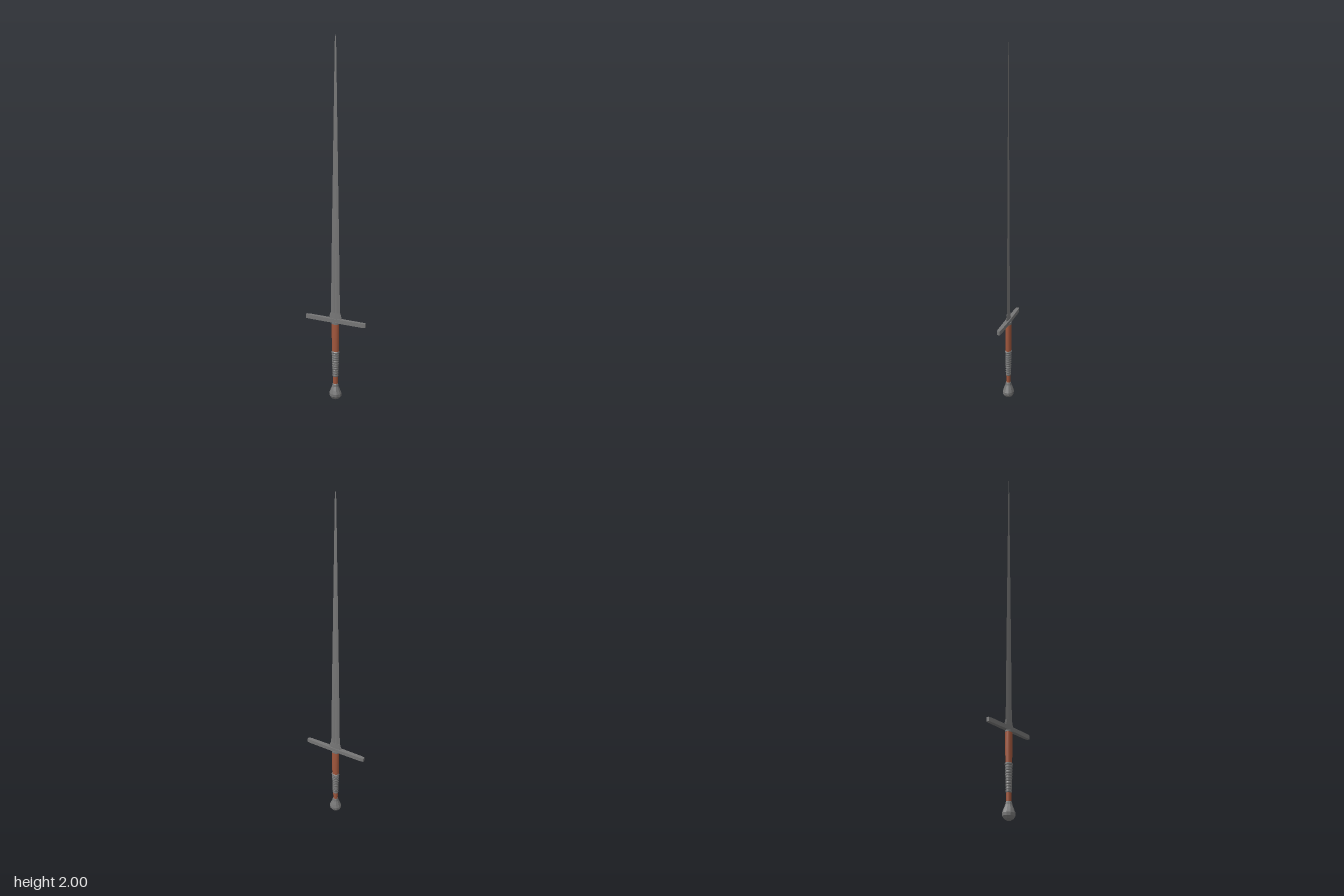
import * as THREE from 'three';

const steel = new THREE.MeshStandardMaterial({ color: 0x757575, flatShading: true });
const leather = new THREE.MeshStandardMaterial({ color: 0xa0563c });

// Unit cross-section with n sides
function ngon(n, offset = 0) {
  return Array.from({ length: n }, (_, j) => {
    const a = ((j + offset) / n) * Math.PI * 2;
    return [Math.cos(a), Math.sin(a)];
  });
}

// Skin a capped solid through sections [y, halfX, halfZ, ...]; ring(section) gives the outline
function loft(name, sections, ring, material) {
  const pos = [], idx = [];
  const n = ring(sections[0]).length, m = sections.length;
  for (const s of sections) for (const [x, z] of ring(s)) pos.push(x * s[1], s[0], z * s[2]);
  for (let i = 0; i < m - 1; i++) {
    for (let j = 0; j < n; j++) {
      const a = i * n + j, b = i * n + (j + 1) % n;
      idx.push(a, a + n, b, b, a + n, b + n);
    }
  }
  // End caps with their own corners
  for (const [s, top] of [[sections[0], false], [sections[m - 1], true]]) {
    const c = pos.length / 3;
    pos.push(0, s[0], 0);
    for (const [x, z] of ring(s)) pos.push(x * s[1], s[0], z * s[2]);
    for (let j = 0; j < n; j++) {
      const p = c + 1 + j, q = c + 1 + (j + 1) % n;
      if (top) idx.push(c, q, p); else idx.push(c, p, q);
    }
  }
  const geo = new THREE.BufferGeometry();
  geo.setAttribute('position', new THREE.Float32BufferAttribute(pos, 3));
  geo.setIndex(idx);
  geo.computeVertexNormals();
  const mesh = new THREE.Mesh(geo, material);
  mesh.name = name;
  return mesh;
}

export function createModel() {
  const sword = new THREE.Group();
  sword.name = 'sword';
  const round = ngon(16);

  // Blade: the fourth value is the fuller depth, fading to a plain ridge
  const bladeRing = ([, , , f]) => [
    [1, 0], [0.36, 0.92], [0, 1 - f], [-0.36, 0.92],
    [-1, 0], [-0.36, -0.92], [0, -1 + f], [0.36, -0.92],
  ];
  sword.add(loft('blade', [
    [0.46, 0.030, 0.0060, 0.4],
    [0.55, 0.028, 0.0057, 0.4],
    [0.85, 0.0235, 0.0047, 0.3],
    [0.95, 0.0220, 0.0043, 0],
    [1.20, 0.0175, 0.0033, 0],
    [1.46, 0.0130, 0.0024, 0],
    [1.75, 0.0080, 0.0014, 0],
    [1.96, 0.0045, 0.0008, 0],
    [2.00, 0.0015, 0.0004, 0],
  ], bladeRing, steel));

  // Flared collar where the blade meets the guard
  sword.add(loft('bladeCollar', [
    [0.472, 0.040, 0.0075], [0.488, 0.037, 0.0070], [0.508, 0.031, 0.0062],
  ], () => ngon(8), steel));

  // Crossguard: square bar, tapered in depth towards the tips
  const bar = [[1, 1], [-1, 1], [-1, -1], [1, -1]];
  const half = [[0.186, 0.0110, 0.0075], [0.166, 0.0115, 0.0102], [0.04, 0.0110, 0.0120]];
  const guard = loft('crossguard', [
    ...half.map(([y, a, b]) => [-y, a, b]), ...half.slice().reverse(),
  ], () => bar, steel);
  guard.rotation.z = Math.PI / 2;
  guard.position.y = 0.463;
  sword.add(guard);

  // Steel cap between the guard and the grip
  sword.add(loft('gripCap', [
    [0.444, 0.0225, 0.0170], [0.456, 0.0225, 0.0170],
  ], () => round, steel));

  // Leather grip, oval and tapering to the pommel
  sword.add(loft('grip', [
    [0.085, 0.0135, 0.0115], [0.14, 0.0150, 0.0125],
    [0.28, 0.0200, 0.0155], [0.36, 0.0215, 0.0165], [0.45, 0.0215, 0.0160],
  ], () => round, leather));

  // Wire wrap: a row of ridges, the topmost one wider
  const wrap = [], turns = 11, y0 = 0.135, y1 = 0.285, step = (y1 - y0) / turns;
  for (let i = 0; i < turns; i++) {
    const t = i / (turns - 1), swell = i === turns - 1 ? 0.0025 : 0.001;
    const hx = 0.0165 + 0.0045 * t, hz = 0.0140 + 0.0025 * t, y = y0 + i * step;
    wrap.push([y, hx - 0.001, hz - 0.001], [y + step * 0.3, hx + swell, hz + swell],
      [y + step * 0.7, hx + swell, hz + swell]);
  }
  wrap.push([y1, 0.0205, 0.016]);
  sword.add(loft('wireWrap', wrap, () => round, steel));

  // Faceted pear-shaped pommel
  sword.add(loft('pommel', [
    [0.000, 0.011, 0.010], [0.007, 0.024, 0.022], [0.021, 0.035, 0.031],
    [0.036, 0.036, 0.032], [0.055, 0.028, 0.026], [0.076, 0.019, 0.0175],
    [0.088, 0.0170, 0.0155], [0.093, 0.0145, 0.013],
  ], () => ngon(10, 0.5), steel));

  return sword;
}
